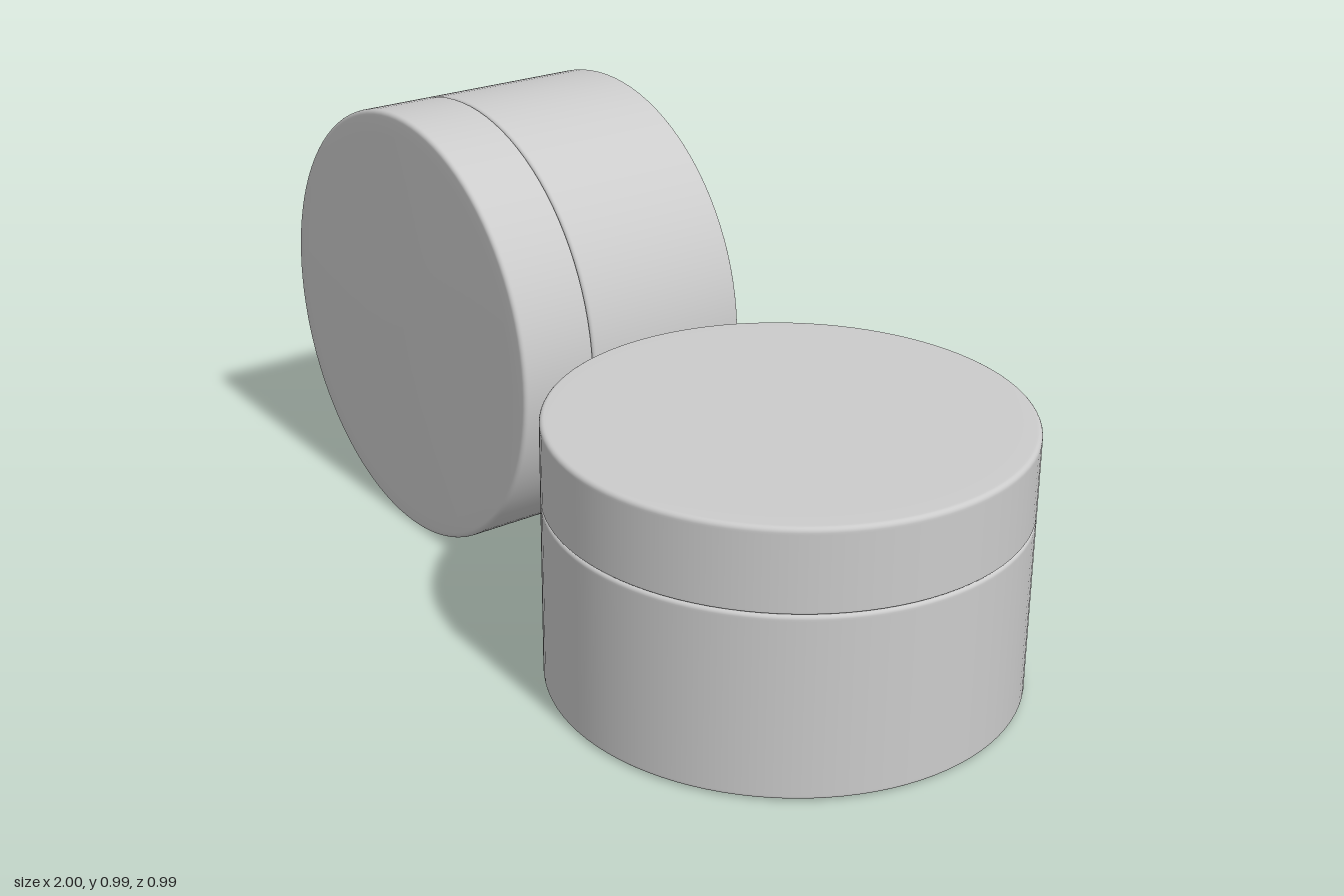
import * as THREE from 'three';

const R = 0.494, H = 0.573, SEAM = 0.39;
const material = new THREE.MeshStandardMaterial({ color: 0xcccccc });

// Closed disc profile, bottom to top, with rounded rims and support points that keep the flats crisp.
function roundedDisc(name, y0, y1, bottomRound, topRound, bottomInset, topInset) {
  const points = [new THREE.Vector2(0, y0)];
  const corner = (r, cy, from) => {
    for (let i = 0; i <= 5; i++) {
      const a = from + (i / 5) * Math.PI / 2;
      points.push(new THREE.Vector2(R - r + r * Math.cos(a), cy + r * Math.sin(a)));
    }
  };
  // Slightly raised flat on the outer end, then the rim
  points.push(new THREE.Vector2(R * 0.9, y0 + bottomInset * 0.6));
  points.push(new THREE.Vector2(R - bottomRound - 0.004, y0 + bottomInset));
  corner(bottomRound, y0 + bottomInset + bottomRound, -Math.PI / 2);
  points.push(new THREE.Vector2(R, y0 + bottomInset + bottomRound + 0.004));
  points.push(new THREE.Vector2(R, y1 - topInset - topRound - 0.004));
  corner(topRound, y1 - topInset - topRound, 0);
  points.push(new THREE.Vector2(R - topRound - 0.004, y1 - topInset));
  points.push(new THREE.Vector2(R * 0.9, y1 - topInset * 0.6));
  points.push(new THREE.Vector2(0, y1));
  const mesh = new THREE.Mesh(new THREE.LatheGeometry(points, 96), material);
  mesh.name = name;
  return mesh;
}

// A lidded round tin standing on its base
function makeTin(name) {
  const tin = new THREE.Group();
  tin.name = name;
  tin.add(roundedDisc('base', 0, SEAM + 0.003, 0.005, 0.008, 0.003, 0));
  tin.add(roundedDisc('lid', SEAM + 0.006, H, 0.003, 0.01, 0, 0.003));

  // Recessed neck inside the seam
  const neck = new THREE.Mesh(new THREE.CylinderGeometry(R - 0.012, R - 0.012, 0.06, 96, 1, true), material);
  neck.name = 'neck';
  neck.position.y = SEAM + 0.005;
  tin.add(neck);
  return tin;
}

export function createModel() {
  const model = new THREE.Group();
  model.name = 'tins';

  const upright = makeTin('uprightTin');
  upright.position.set(0.506, 0.004, 0);

  // Second tin lies on its side with the lid facing forward
  const lying = makeTin('lyingTin');
  lying.rotation.x = Math.PI / 2;
  lying.position.set(-0.506, 0.497, -0.287);

  model.add(upright, lying);
  return model;
}
